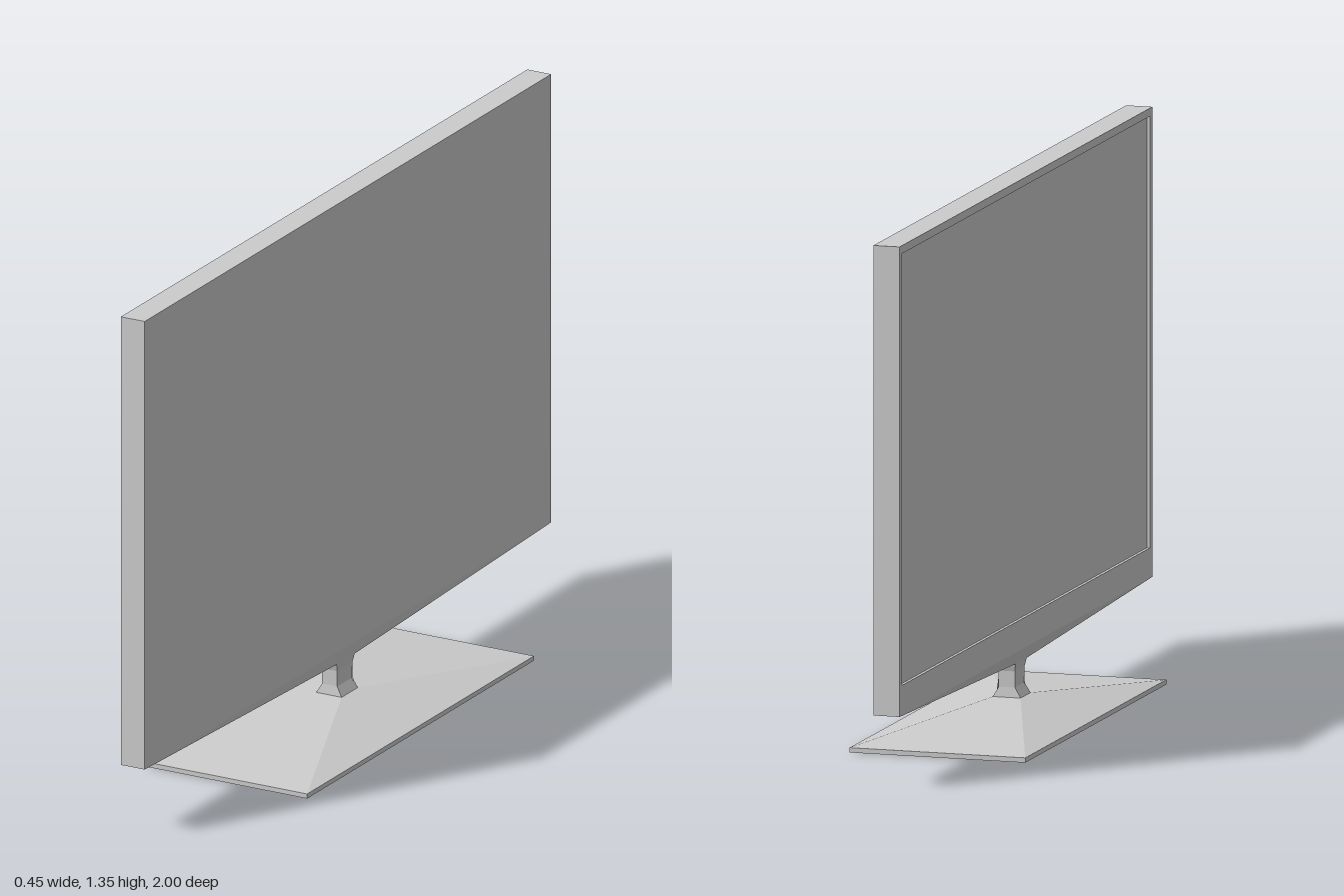
import * as THREE from 'three';

const material = new THREE.MeshStandardMaterial({ color: 0xcccccc, flatShading: true });

function part(name, geometry) {
  const mesh = new THREE.Mesh(geometry, material);
  mesh.name = name;
  return mesh;
}

// Joins rectangular rings [y, x0, x1, z0, z1]; rings that rise face outward, rings that fall face inward
function loftRects(rings, capBottom, capTop) {
  const pos = [];
  const corners = rings.map(([y, x0, x1, z0, z1]) => [[x0, y, z0], [x1, y, z0], [x1, y, z1], [x0, y, z1]]);
  const quad = (a, b, c, d) => pos.push(...a, ...b, ...c, ...a, ...c, ...d);
  for (let i = 0; i < corners.length - 1; i++) {
    const lo = corners[i], hi = corners[i + 1];
    for (let k = 0; k < 4; k++) {
      const n = (k + 1) % 4;
      quad(lo[k], hi[k], hi[n], lo[n]);
    }
  }
  const first = corners[0], last = corners[corners.length - 1];
  if (capBottom) quad(first[0], first[1], first[2], first[3]);
  if (capTop) quad(last[0], last[3], last[2], last[1]);
  const geometry = new THREE.BufferGeometry();
  geometry.setAttribute('position', new THREE.Float32BufferAttribute(pos, 3));
  geometry.computeVertexNormals();
  return geometry;
}

function rectPath(path, z0, y0, z1, y1) {
  path.moveTo(z0, y0);
  path.lineTo(z1, y0);
  path.lineTo(z1, y1);
  path.lineTo(z0, y1);
  path.closePath();
  return path;
}

export function createModel() {
  const model = new THREE.Group();
  const top = 1.345, bottom = 0.18, front = -0.046, back = 0.021, recess = 0.008;

  // Screen housing behind the bezel
  const depth = back - front - recess;
  const housing = new THREE.BoxGeometry(depth, top - bottom, 2);
  housing.translate(back - depth / 2, (top + bottom) / 2, 0);
  model.add(part('screenHousing', housing));

  // Bezel around the recessed display, with a deeper lower border
  const outline = rectPath(new THREE.Shape(), -1, bottom, 1, top);
  outline.holes.push(rectPath(new THREE.Path(), -0.982, bottom + 0.075, 0.982, top - 0.02));
  const bezel = new THREE.ExtrudeGeometry(outline, { depth: recess, bevelEnabled: false });
  bezel.rotateY(-Math.PI / 2);
  bezel.translate(front + recess, 0, 0);
  model.add(part('bezel', bezel));

  // Underside of the screen, tapering down to the neck
  model.add(part('chin', loftRects([
    [0.145, -0.034, 0.015, -0.045, 0.045],
    [bottom, front, back, -1, 1],
  ], true, false)));

  // Hollow pyramid foot: inner opening, underside, rim, then sloping top
  model.add(part('foot', loftRects([
    [0.06, -0.035, 0.02, -0.034, 0.034],
    [0.048, -0.035, 0.02, -0.034, 0.034],
    [0, -0.218, 0.218, -0.55, 0.55],
    [0, -0.225, 0.225, -0.558, 0.558],
    [0.012, -0.225, 0.225, -0.558, 0.558],
    [0.06, -0.045, 0.026, -0.04, 0.04],
  ], false, false)));

  // Neck flaring out where it meets the foot
  model.add(part('neck', loftRects([
    [0.145, -0.026, 0.008, -0.034, 0.034],
    [0.06, -0.035, 0.02, -0.034, 0.034],
    [0.06, -0.045, 0.026, -0.04, 0.04],
    [0.085, -0.03, 0.012, -0.037, 0.037],
    [0.125, -0.03, 0.012, -0.038, 0.038],
    [0.147, -0.034, 0.015, -0.045, 0.045],
  ], false, false)));

  return model;
}
